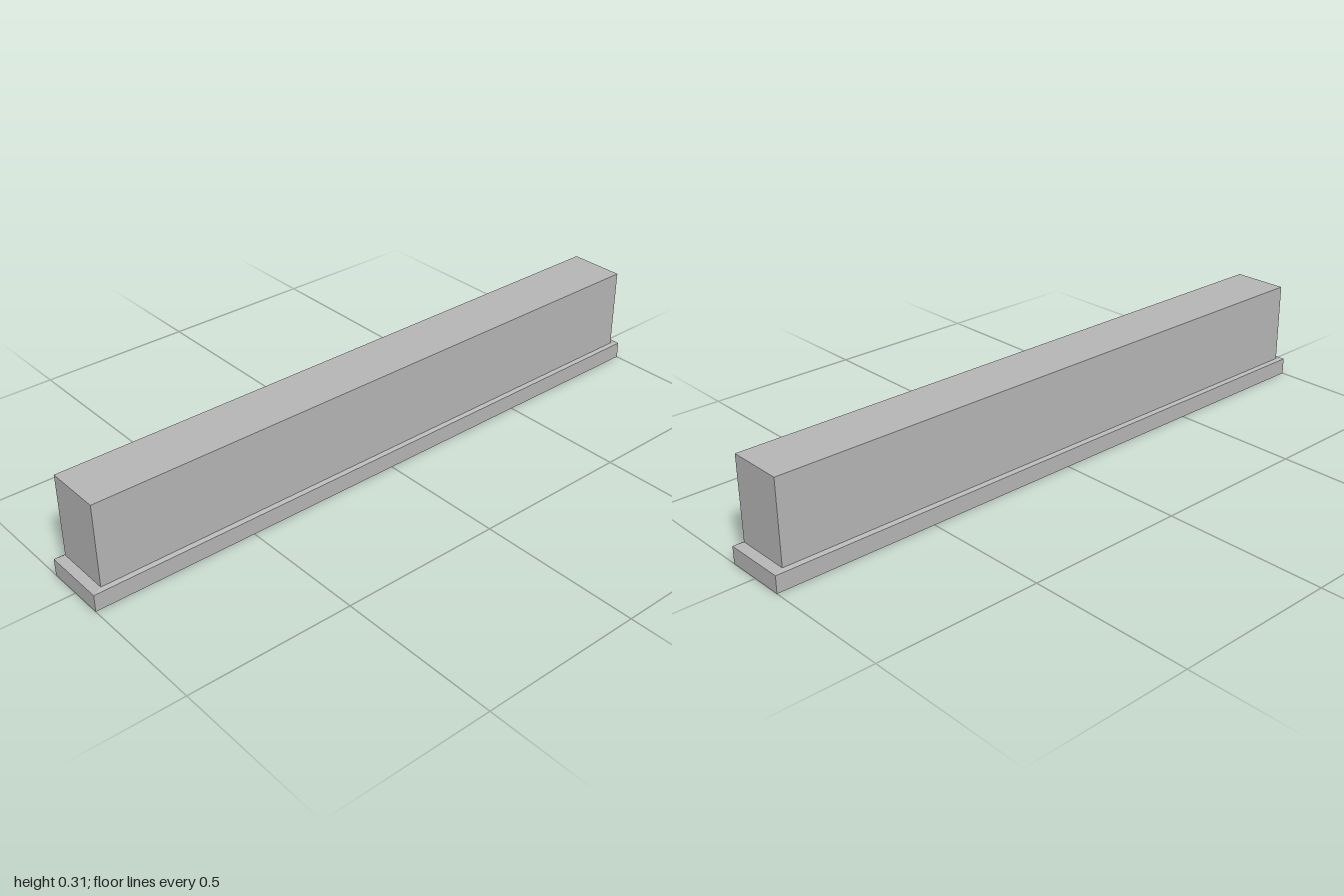
import * as THREE from 'three';

// Rectangular cross-section at height y, corners counter-clockwise from above
function ring(x0, x1, halfZ, y) {
  return [[x0, y, halfZ], [x1, y, halfZ], [x1, y, -halfZ], [x0, y, -halfZ]];
}

// Joins successive rings with flat quads and caps the first and last
function loft(rings) {
  const positions = [];
  const quad = (a, b, c, d) => positions.push(...a, ...b, ...c, ...a, ...c, ...d);
  const first = rings[0];
  const last = rings[rings.length - 1];
  quad(first[3], first[2], first[1], first[0]);
  for (let r = 0; r < rings.length - 1; r++) {
    for (let i = 0; i < 4; i++) {
      const j = (i + 1) % 4;
      quad(rings[r][i], rings[r][j], rings[r + 1][j], rings[r + 1][i]);
    }
  }
  quad(...last);
  const geometry = new THREE.BufferGeometry();
  geometry.setAttribute('position', new THREE.Float32BufferAttribute(positions, 3));
  geometry.computeVertexNormals();
  return geometry;
}

export function createModel() {
  const group = new THREE.Group();
  const grey = new THREE.MeshStandardMaterial({ color: 0xb4b4b4 });
  grey.name = 'plain grey';

  // Plinth: slot in the underside, straight sides, shallow sloped top
  const plinth = new THREE.Mesh(loft([
    ring(-0.617, 0.535, 0.037, 0.052),
    ring(-0.635, 0.55, 0.037, 0),
    ring(-1, 1, 0.098, 0),
    ring(-1, 1, 0.098, 0.052),
    ring(-0.972, 0.972, 0.087, 0.058),
  ]), grey);
  plinth.name = 'plinth';
  group.add(plinth);

  // Upright block
  const height = 0.252;
  const wall = new THREE.Mesh(new THREE.BoxGeometry(1.944, height, 0.174), grey);
  wall.name = 'wall';
  wall.position.y = 0.058 + height / 2;
  group.add(wall);

  return group;
}
